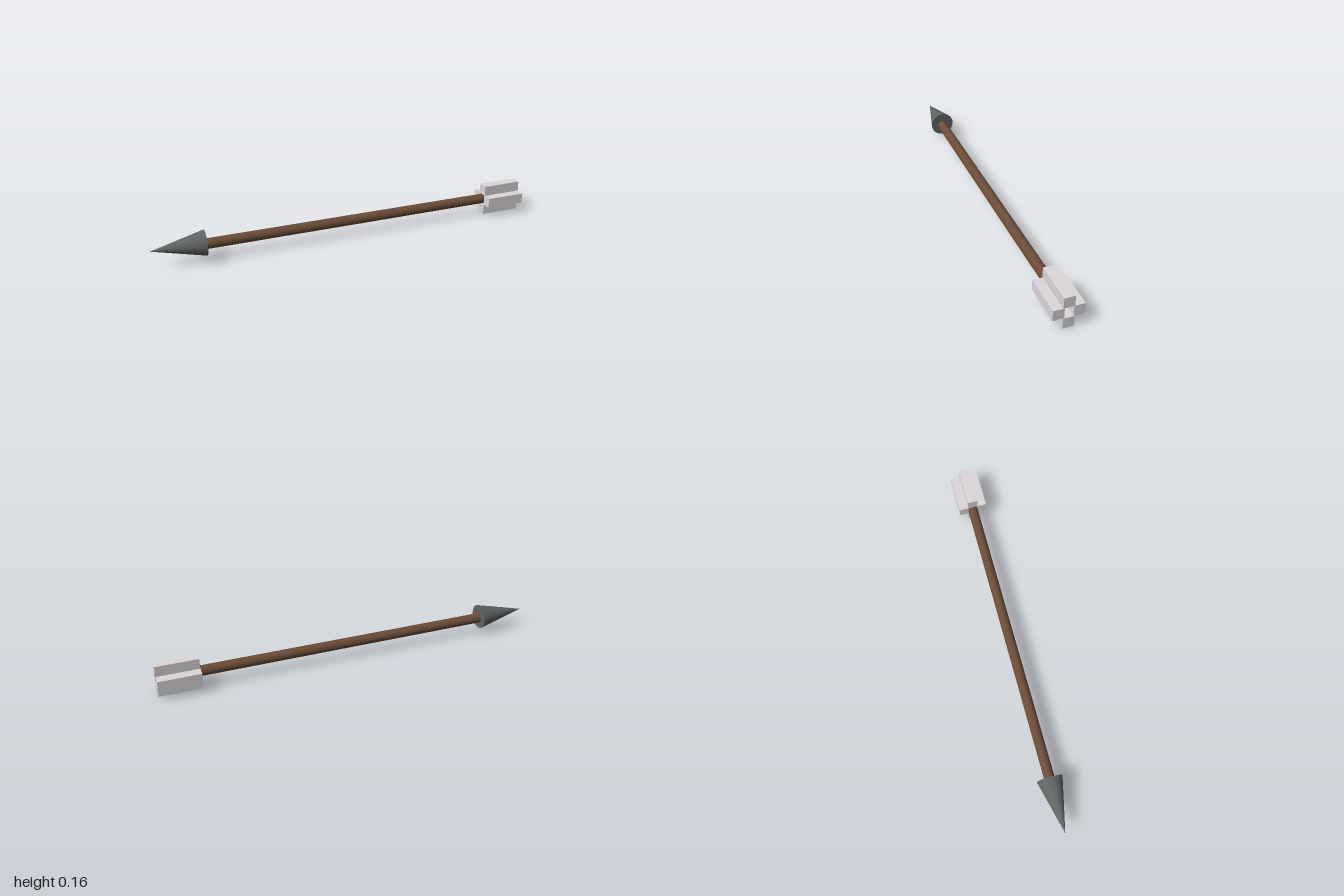
import * as THREE from 'three';

const wood = new THREE.MeshStandardMaterial({ color: 0x6b4c38 });
const iron = new THREE.MeshStandardMaterial({ color: 0x606463 });
const feather = new THREE.MeshStandardMaterial({ color: 0xdcd7da });

export function createModel() {
  const arrow = new THREE.Group();
  arrow.name = 'arrow';

  const add = (name, geometry, material, x, y, z) => {
    const mesh = new THREE.Mesh(geometry, material);
    mesh.name = name;
    mesh.position.set(x, y, z);
    arrow.add(mesh);
    return mesh;
  };

  // Shaft from the back of the head to the start of the fletching
  const shaftStart = -0.74, shaftEnd = 0.8;
  const shaft = new THREE.CylinderGeometry(0.026, 0.026, shaftEnd - shaftStart, 32).rotateZ(Math.PI / 2);
  add('shaft', shaft, wood, (shaftStart + shaftEnd) / 2, 0.083, 0);

  // Conical head pointing to -x
  const head = new THREE.ConeGeometry(0.064, 0.263, 32).rotateZ(Math.PI / 2);
  add('arrowHead', head, iron, -0.8685, 0.09, 0);

  // Four square vanes around an open core
  const vane = new THREE.BoxGeometry(0.21, 0.053, 0.053);
  const vanes = [
    ['topVane', 0.1355, 0.002],
    ['bottomVane', 0.0265, 0],
    ['frontVane', 0.082, 0.0485],
    ['backVane', 0.082, -0.047],
  ];
  for (const [name, y, z] of vanes) add(name, vane, feather, 0.895, y, z);

  return arrow;
}
